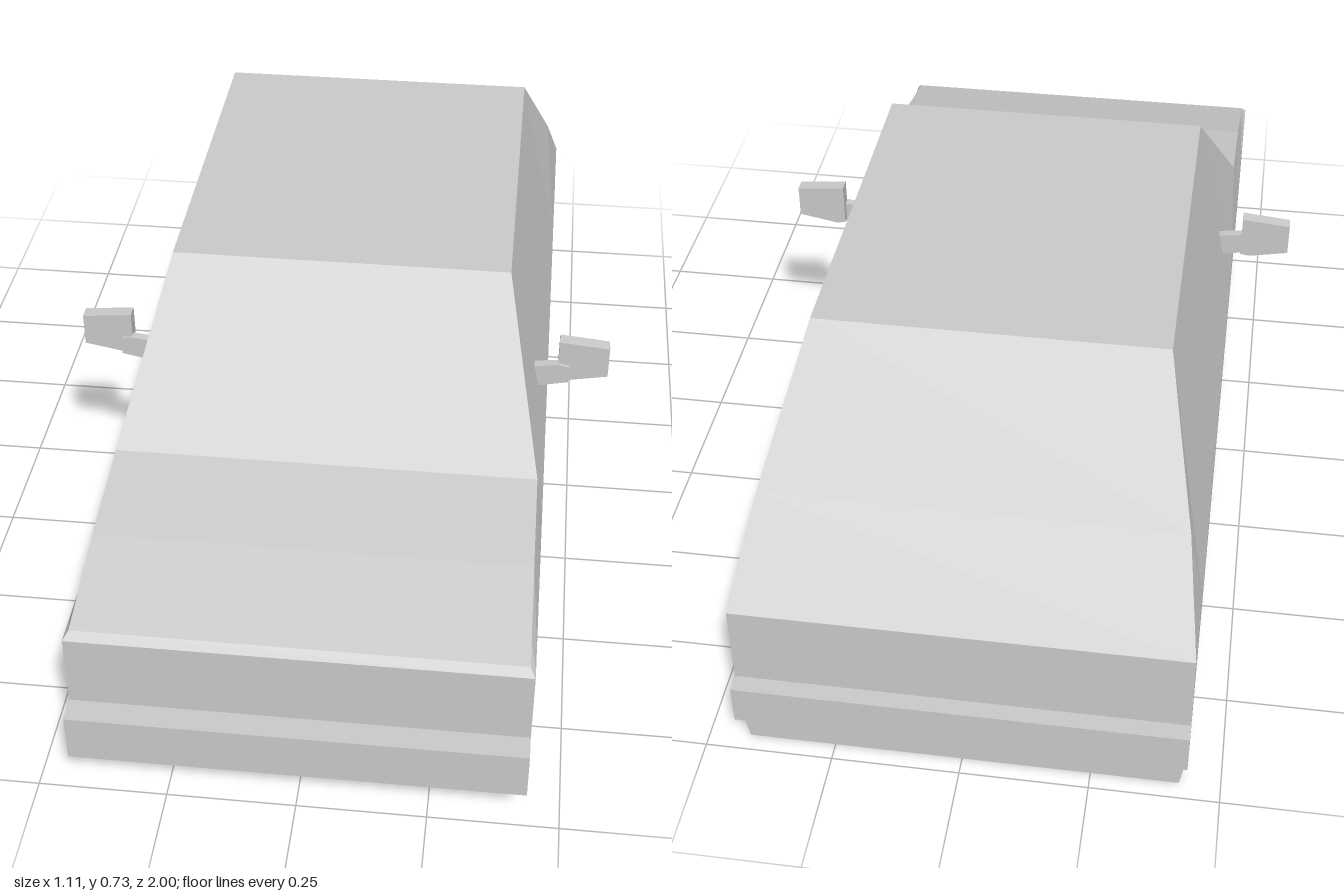
import * as THREE from 'three';

const material = new THREE.MeshStandardMaterial({ color: 0xcccccc, flatShading: true });

const HALF = 0.435, SILL = 0.085, BELT = 0.342;

// Body stations, front to back: z, bottom y, bottom half-width, top y, top half-width
const stations = [
  [0.95, SILL, HALF, BELT, HALF],
  [0.935, 0.071, 0.433, 0.356, 0.425],
  [0.88, 0.02, 0.422, 0.37, 0.424],
  [0.73, 0, 0.42, 0.41, 0.422],
  [0.515, 0, 0.42, 0.443, 0.42],
  [0.225, 0, 0.42, 0.732, 0.343],
  [-0.56, 0, 0.42, 0.732, 0.343],
  [-0.8, 0, 0.42, 0.50, 0.406],
  [-0.965, 0, 0.42, BELT, HALF],
];

// Lofts the eight-sided cross-sections into a closed faceted shell
function bodyGeometry() {
  const rings = stations.map(([z, bottom, bottomW, top, topW]) => {
    const side = [[bottomW, bottom], [HALF, SILL], [HALF, BELT], [topW, top]];
    const mirrored = side.map(([x, y]) => [-x, y]).reverse();
    return [...side, ...mirrored].map(([x, y]) => new THREE.Vector3(x, y, z));
  });
  const points = [];
  const triangle = (a, b, c) => {
    const t = new THREE.Triangle(a, b, c);
    if (t.getArea() > 1e-7) points.push(a, b, c);
  };
  for (let i = 0; i < rings.length - 1; i++) {
    for (let k = 0; k < 8; k++) {
      const n = (k + 1) % 8;
      const a = rings[i][k], b = rings[i][n], c = rings[i + 1][n], d = rings[i + 1][k];
      triangle(a, d, c);
      triangle(a, c, b);
    }
  }
  // Nose and tail panels
  const nose = rings[0], tail = rings[rings.length - 1];
  for (let k = 1; k < 7; k++) {
    triangle(nose[0], nose[k], nose[k + 1]);
    triangle(tail[0], tail[k + 1], tail[k]);
  }
  const geometry = new THREE.BufferGeometry().setFromPoints(points);
  geometry.computeVertexNormals();
  return geometry;
}

function addMesh(parent, name, geometry) {
  const mesh = new THREE.Mesh(geometry, material);
  mesh.name = name;
  parent.add(mesh);
  return mesh;
}

// Bumper bar between two heights and two depths
function addBumper(parent, name, y0, y1, z0, z1) {
  const bar = addMesh(parent, name, new THREE.BoxGeometry(HALF * 2, y1 - y0, z1 - z0));
  bar.position.set(0, (y0 + y1) / 2, (z0 + z1) / 2);
}

// Flat plate with an outline in x and y, mirrored by the sign of side
function plate(outline, side, z0, z1) {
  const shape = new THREE.Shape(outline.map(([x, y]) => new THREE.Vector2(x * side, y)));
  const geometry = new THREE.ExtrudeGeometry(shape, { depth: z1 - z0, bevelEnabled: false });
  return geometry.translate(0, 0, z0);
}

export function createModel() {
  const car = new THREE.Group();
  car.name = 'car';

  addMesh(car, 'body', bodyGeometry());
  addBumper(car, 'frontBumper', SILL, 0.187, 0.94, 1);
  addBumper(car, 'rearBumper', SILL, 0.17, -1, -0.955);

  // Door mirrors: housing on a short arm
  const housing = [[0.452, 0.54], [0.452, 0.447], [0.472, 0.444], [0.556, 0.46], [0.556, 0.53]];
  const arm = [[0.40, 0.48], [0.40, 0.428], [0.475, 0.444], [0.475, 0.482], [0.452, 0.487]];
  for (const side of [1, -1]) {
    const mirror = new THREE.Group();
    mirror.name = side > 0 ? 'leftMirror' : 'rightMirror';
    addMesh(mirror, 'mirrorHousing', plate(housing, side, 0.157, 0.186));
    addMesh(mirror, 'mirrorArm', plate(arm, side, 0.174, 0.193));
    car.add(mirror);
  }
  return car;
}
